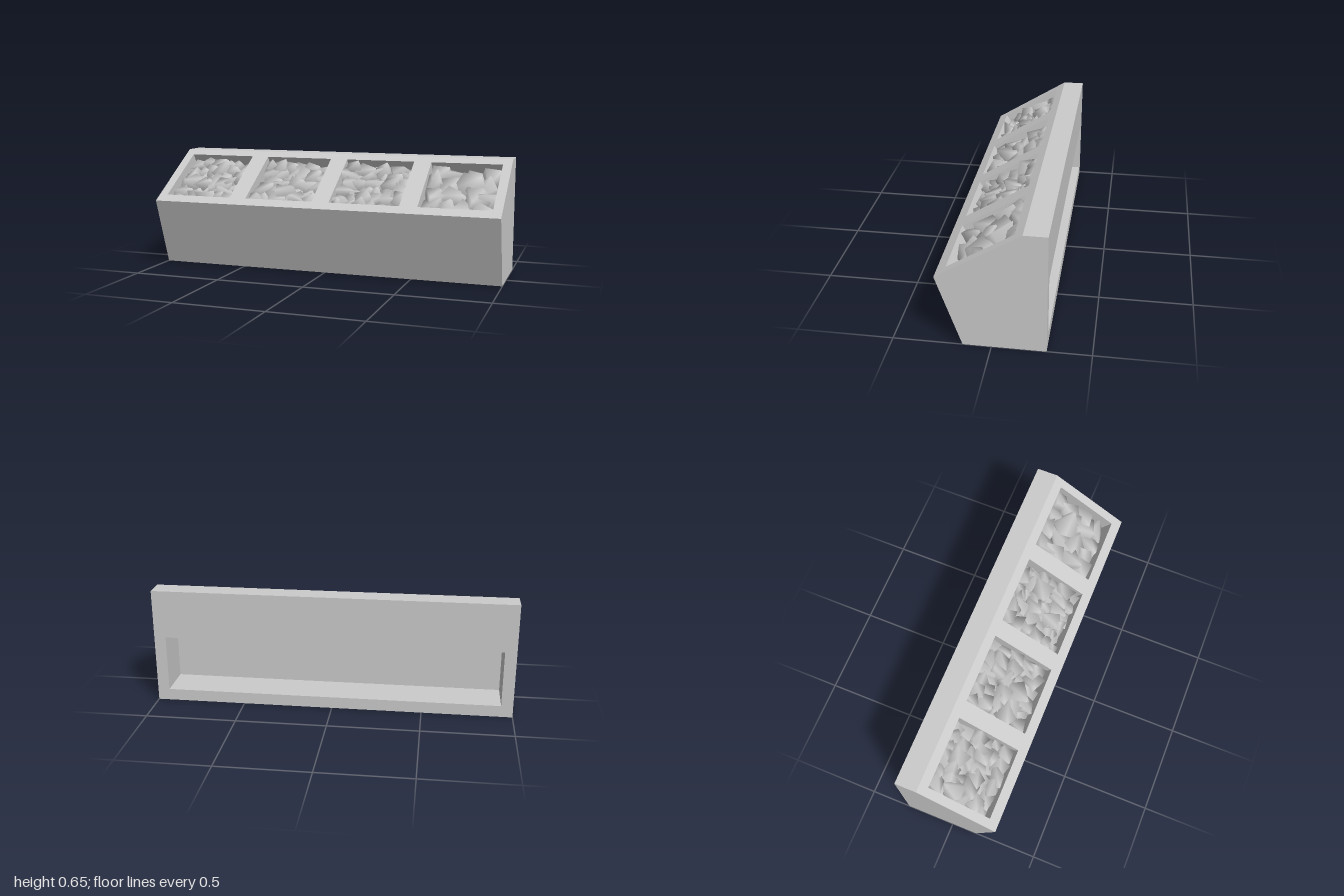
import * as THREE from 'three';
import { mergeVertices } from 'three/addons/utils/BufferGeometryUtils.js';

const grey = new THREE.MeshStandardMaterial({ color: 0xcccccc });

// Side outline as [z, y], counter-clockwise from the bottom front corner
const profile = [[0.145, 0], [0.275, 0.385], [-0.155, 0.65], [-0.275, 0.65], [-0.275, 0]];
const panelNames = ['frontPanel', 'slopedTop', 'topLedge', 'backPanel', 'bottomPanel'];

let seed = 7;
function rand(a, b) {
  seed = (seed * 16807) % 2147483647;
  return a + (b - a) * (seed / 2147483647);
}

function addMesh(parent, geometry, name) {
  const mesh = new THREE.Mesh(geometry, grey);
  mesh.name = name;
  parent.add(mesh);
  return mesh;
}

function rectangle(path, x0, y0, x1, y1) {
  path.moveTo(x0, y0).lineTo(x1, y0).lineTo(x1, y1).lineTo(x0, y1).closePath();
  return path;
}

// Box seen from inside, open towards +z, with its rim at z = 0
function linerGeometry(w, h, d) {
  const g = new THREE.BoxGeometry(w, h, d);
  const index = Array.from(g.index.array);
  index.splice(24, 6);
  for (let i = 0; i < index.length; i += 3) {
    [index[i], index[i + 1]] = [index[i + 1], index[i]];
  }
  g.setIndex(index);
  g.clearGroups();
  g.computeVertexNormals();
  return g.translate(0, 0, -d / 2);
}

// Chunky irregular block with soft shading, cut off at the tray walls
function rockGeometry(size, center, w, h, d) {
  let g = new THREE.BoxGeometry(size, size, size);
  g.deleteAttribute('uv');
  g.deleteAttribute('normal');
  g = mergeVertices(g);
  const turn = new THREE.Euler(rand(-0.45, 0.45), rand(-0.45, 0.45), rand(-0.6, 0.6));
  const p = g.attributes.position;
  const v = new THREE.Vector3();
  const j = size * 0.14;
  for (let i = 0; i < p.count; i++) {
    v.fromBufferAttribute(p, i);
    v.x += rand(-j, j);
    v.y += rand(-j, j);
    v.z += rand(-j, j);
    v.applyEuler(turn).add(center);
    v.x = THREE.MathUtils.clamp(v.x, -w / 2 + 0.001, w / 2 - 0.001);
    v.y = THREE.MathUtils.clamp(v.y, -h / 2 + 0.001, h / 2 - 0.001);
    v.z = Math.max(v.z, -d + 0.001);
    p.setXYZ(i, v.x, v.y, v.z);
  }
  g.computeVertexNormals();
  return g;
}

function addRocks(tray, w, h, d, cols, rows, size) {
  const rocks = new THREE.Group();
  rocks.name = 'rocks';
  for (let r = 0; r < rows; r++) {
    for (let c = 0; c < cols; c++) {
      const cw = w / cols, ch = h / rows;
      const shift = r % 2 ? 0.15 : -0.15;
      const center = new THREE.Vector3(
        -w / 2 + (c + 0.5 + shift + rand(-0.15, 0.15)) * cw,
        -h / 2 + (r + 0.5 + rand(-0.15, 0.15)) * ch,
        -0.04 - size / 2 + rand(-0.015, 0.02));
      addMesh(rocks, rockGeometry(size * rand(0.9, 1.15), center, w, h, d), 'rock');
    }
  }
  tray.add(rocks);
}

// Openings per panel: [x0, v0, x1, v1, depth], v running along the outline
const trayOpenings = [-0.75, -0.25, 0.25, 0.75].map((x) => [x - 0.2, 0.059, x + 0.2, 0.453, 0.13]);
const openings = {
  slopedTop: trayOpenings,
  backPanel: [[-0.935, 0.27, 0.935, 0.585, 0.215]],
};
const rockLayout = [[6, 6, 0.085], [6, 5, 0.088], [6, 6, 0.085], [4, 4, 0.118]];

export function createModel() {
  const model = new THREE.Group();
  model.name = 'rockDisplay';

  // Long panels around the outline, with their recesses
  profile.forEach(([z0, y0], i) => {
    const [z1, y1] = profile[(i + 1) % profile.length];
    const along = new THREE.Vector3(0, y1 - y0, z1 - z0);
    const length = along.length();
    along.normalize();
    const side = new THREE.Vector3(1, 0, 0);
    const panel = new THREE.Group();
    panel.name = panelNames[i];
    panel.quaternion.setFromRotationMatrix(
      new THREE.Matrix4().makeBasis(side, along, side.clone().cross(along)));
    panel.position.set(0, y0, z0);

    const shape = rectangle(new THREE.Shape(), -1, 0, 1, length);
    (openings[panel.name] || []).forEach(([x0, v0, x1, v1, depth], k) => {
      shape.holes.push(rectangle(new THREE.Path(), x0, v0, x1, v1));
      const w = x1 - x0, h = v1 - v0;
      const recess = new THREE.Group();
      recess.name = panel.name === 'slopedTop' ? 'tray' : 'backRecess';
      recess.position.set((x0 + x1) / 2, (v0 + v1) / 2, 0);
      addMesh(recess, linerGeometry(w, h, depth), 'recessWalls');
      if (recess.name === 'tray') addRocks(recess, w, h, depth, ...rockLayout[k]);
      panel.add(recess);
    });
    addMesh(panel, new THREE.ShapeGeometry(shape), 'panelFace');
    model.add(panel);
  });

  // End walls; each is turned so that it faces outwards
  for (const s of [1, -1]) {
    const outline = new THREE.Shape(profile.map(([z, y]) => new THREE.Vector2(-s * z, y)));
    const end = addMesh(model, new THREE.ShapeGeometry(outline), s > 0 ? 'leftEnd' : 'rightEnd');
    end.rotation.y = s * Math.PI / 2;
    end.position.x = s;
  }
  return model;
}
